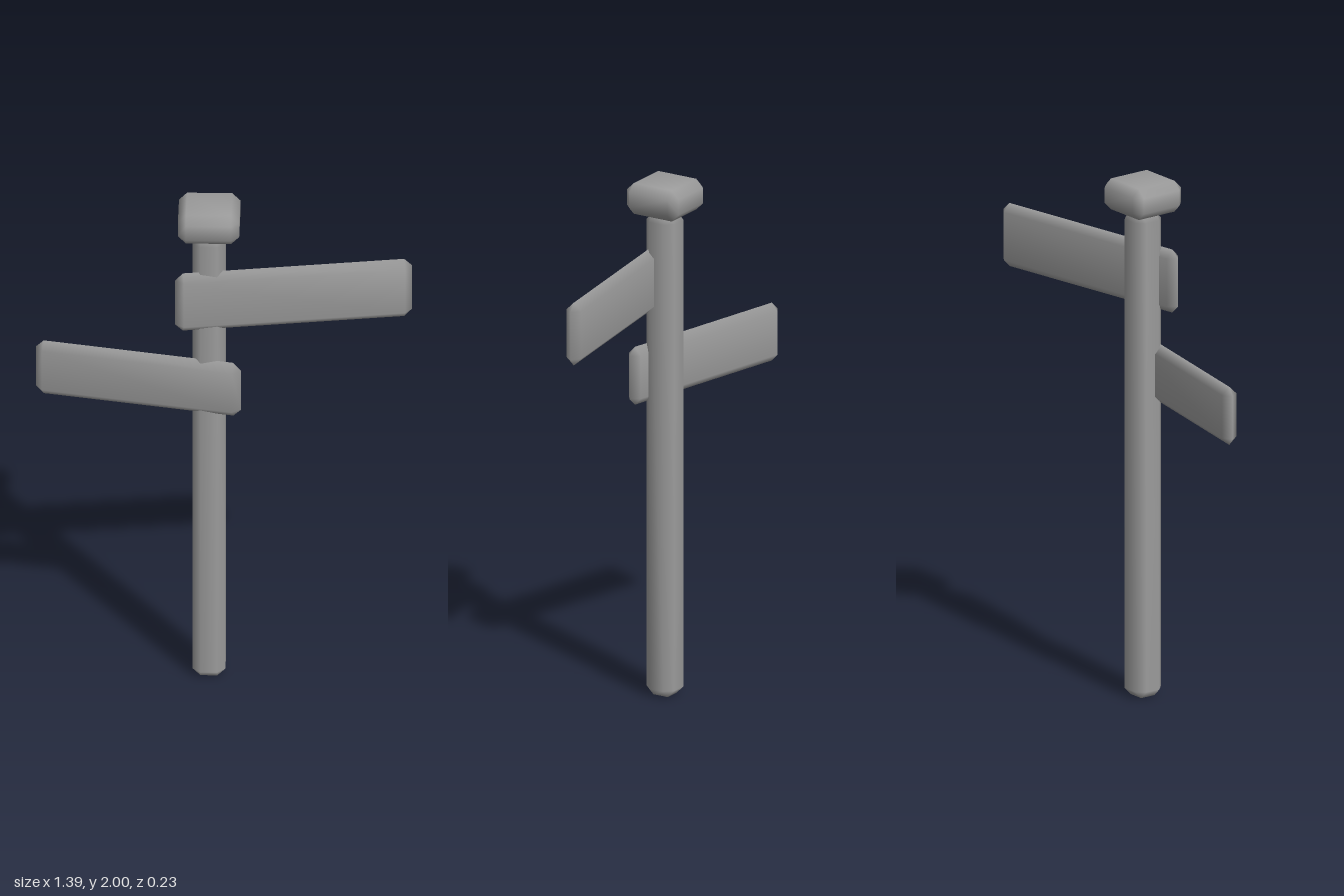
import * as THREE from 'three';
import { ConvexGeometry } from 'three/addons/geometries/ConvexGeometry.js';
import { mergeVertices } from 'three/addons/utils/BufferGeometryUtils.js';

const grey = new THREE.MeshStandardMaterial({ color: 0x9c9c9c });
grey.name = 'grey';

// Box with chamfered edges, shaded smooth across all faces
function chamferBox(width, height, depth, bevel) {
  const half = [width / 2, height / 2, depth / 2];
  const points = [];
  for (let axis = 0; axis < 3; axis++) {
    for (const sx of [-1, 1]) for (const sy of [-1, 1]) for (const sz of [-1, 1]) {
      const inset = half.map((h, i) => (i === axis ? h : h - bevel));
      points.push(new THREE.Vector3(sx * inset[0], sy * inset[1], sz * inset[2]));
    }
  }
  const hull = new ConvexGeometry(points);
  hull.deleteAttribute('normal');
  const geometry = mergeVertices(hull, 1e-4);
  geometry.computeVertexNormals();
  return geometry;
}

export function createModel() {
  const group = new THREE.Group();
  group.name = 'signpost';

  function addPart(name, size, bevel, position, turn = 0) {
    const mesh = new THREE.Mesh(chamferBox(...size, bevel), grey);
    mesh.name = name;
    mesh.position.set(...position);
    mesh.rotation.y = turn;
    group.add(mesh);
  }

  const postX = -0.056;
  addPart('post', [0.122, 1.88, 0.122], 0.03, [postX, 0.94, 0]);
  addPart('postCap', [0.227, 0.12, 0.227], 0.03, [postX, 1.94, 0]);

  // Boards angled backwards to either side of the post
  addPart('upperBoard', [0.885, 0.245, 0.06], 0.03, [0.256, 1.6175, 0], 0.155);
  addPart('lowerBoard', [0.78, 0.226, 0.06], 0.03, [-0.317, 1.252, 0], -0.205);

  return group;
}
